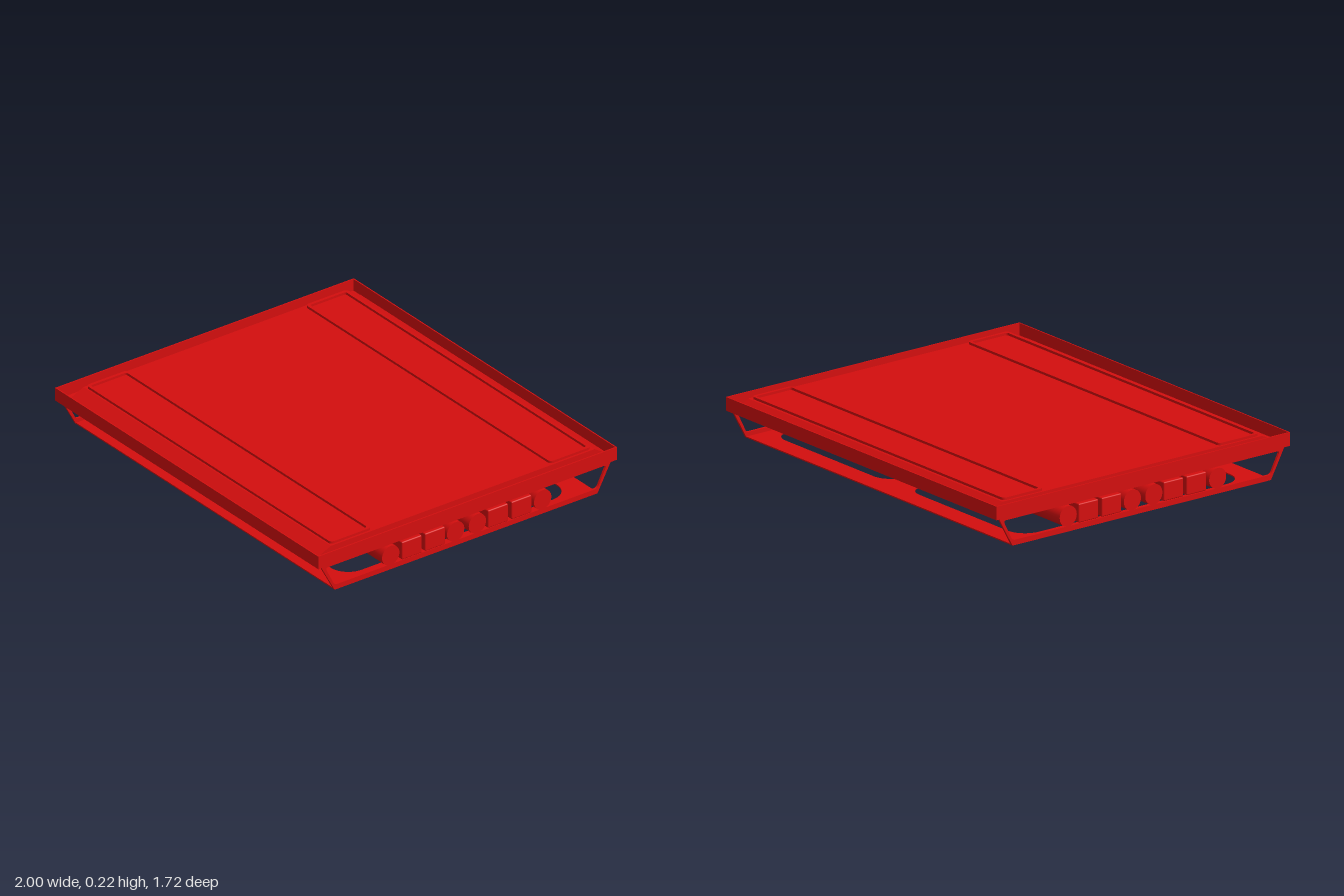
import * as THREE from 'three';
import { RoundedBoxGeometry } from 'three/addons/geometries/RoundedBoxGeometry.js';

const red = new THREE.MeshStandardMaterial({ color: 0xd40e0e, side: THREE.DoubleSide });

// Rounded rectangle outline centred on (cx, cy)
function roundRect(target, cx, cy, w, h, r) {
  const x0 = cx - w / 2, x1 = cx + w / 2, y0 = cy - h / 2, y1 = cy + h / 2;
  target.moveTo(x0 + r, y0);
  target.lineTo(x1 - r, y0).absarc(x1 - r, y0 + r, r, -Math.PI / 2, 0);
  target.lineTo(x1, y1 - r).absarc(x1 - r, y1 - r, r, 0, Math.PI / 2);
  target.lineTo(x0 + r, y1).absarc(x0 + r, y1 - r, r, Math.PI / 2, Math.PI);
  target.lineTo(x0, y0 + r).absarc(x0 + r, y0 + r, r, Math.PI, Math.PI * 1.5);
  return target;
}

const polygon = (pts) => new THREE.Shape(pts.map(([a, b]) => new THREE.Vector2(a, b)));

// Profile drawn in (z, y), extruded along x and centred on x
function acrossX(shape, width, x) {
  const g = new THREE.ExtrudeGeometry(shape, { depth: width, bevelEnabled: false, curveSegments: 8 });
  return g.translate(0, 0, -width / 2).rotateY(-Math.PI / 2).translate(x, 0, 0);
}

// Plan drawn in (x, z), occupying y0 to y0 + thickness
function flatPlate(shape, thickness, y0) {
  const g = new THREE.ExtrudeGeometry(shape, { depth: thickness, bevelEnabled: false, curveSegments: 8 });
  return g.rotateX(Math.PI / 2).translate(0, y0 + thickness, 0);
}

export function createModel() {
  const model = new THREE.Group();
  const add = (name, geometry, x = 0, y = 0, z = 0) => {
    const mesh = new THREE.Mesh(geometry, red);
    mesh.name = name;
    mesh.position.set(x, y, z);
    model.add(mesh);
  };

  // Thin walls around the tray
  const wallY = 0.18, wallH = 0.066, t = 0.006;
  for (const s of [-1, 1]) {
    add('sideWall', new THREE.BoxGeometry(t, wallH, 1.716), s * (1 - t / 2), wallY, 0);
    add('endWall', new THREE.BoxGeometry(2, wallH, t), 0, wallY, s * (0.858 - t / 2));
    add('gutterFloor', new THREE.BoxGeometry(0.06, t, 1.716), s * 0.97, 0.15, 0);
  }

  // Raised deck sheet with sloping ends, closed along its sides
  const top = [[0.855, 0.153], [0.74, 0.204], [-0.775, 0.204], [-0.855, 0.153]];
  const under = top.map(([z, y]) => [z, y - t]).reverse();
  add('deck', acrossX(polygon([...top, ...under]), 1.88, 0));
  for (const s of [-1, 1]) {
    add('deckSide', acrossX(polygon([...top, [-0.855, 0.147], [0.855, 0.147]]), t, s * 0.937));
  }

  // Raised rounded borders on the deck
  for (const z of [0.615, -0.645]) {
    const border = roundRect(new THREE.Shape(), 0, z, 1.86, 0.235, 0.02);
    border.holes.push(roundRect(new THREE.Path(), 0, z, 1.83, 0.205, 0.012));
    add('panelBorder', flatPlate(border, 0.014, 0.202));
  }

  // Trapezoid side frames
  for (const s of [-1, 1]) {
    const frame = polygon([[-0.835, 0.147], [-0.755, 0], [0.755, 0], [0.835, 0.147]]);
    const hole = new THREE.Path();
    hole.moveTo(-0.74, 0.026);
    hole.lineTo(0.74, 0.026);
    hole.quadraticCurveTo(0.755, 0.026, 0.762, 0.04);
    hole.lineTo(0.8, 0.115);
    hole.quadraticCurveTo(0.808, 0.131, 0.79, 0.131);
    hole.lineTo(-0.79, 0.131);
    hole.quadraticCurveTo(-0.808, 0.131, -0.8, 0.115);
    hole.lineTo(-0.762, 0.04);
    hole.quadraticCurveTo(-0.755, 0.026, -0.74, 0.026);
    frame.holes.push(hole);
    add('sideFrame', acrossX(frame, 0.012, s * 0.982));
  }

  // Bottom plate with two rounded openings and a central spine
  const base = roundRect(new THREE.Shape(), 0, 0, 1.96, 1.51, 0.005);
  for (const s of [-1, 1]) {
    base.holes.push(roundRect(new THREE.Path(), s * 0.495, 0, 0.85, 1.3, 0.1));
  }
  add('bottomPlate', flatPlate(base, 0.006, 0));

  // Row of round and square bars under the tray
  for (const z of [0.438, 0.065, -0.06, -0.435]) {
    add('roundBar', new THREE.CylinderGeometry(0.05, 0.05, 1.99, 32).rotateZ(Math.PI / 2), 0, 0.077, z);
  }
  for (const z of [0.315, 0.182, -0.18, -0.315]) {
    add('squareBar', new RoundedBoxGeometry(1.99, 0.092, 0.115, 2, 0.006), 0, 0.077, z);
  }
  return model;
}
